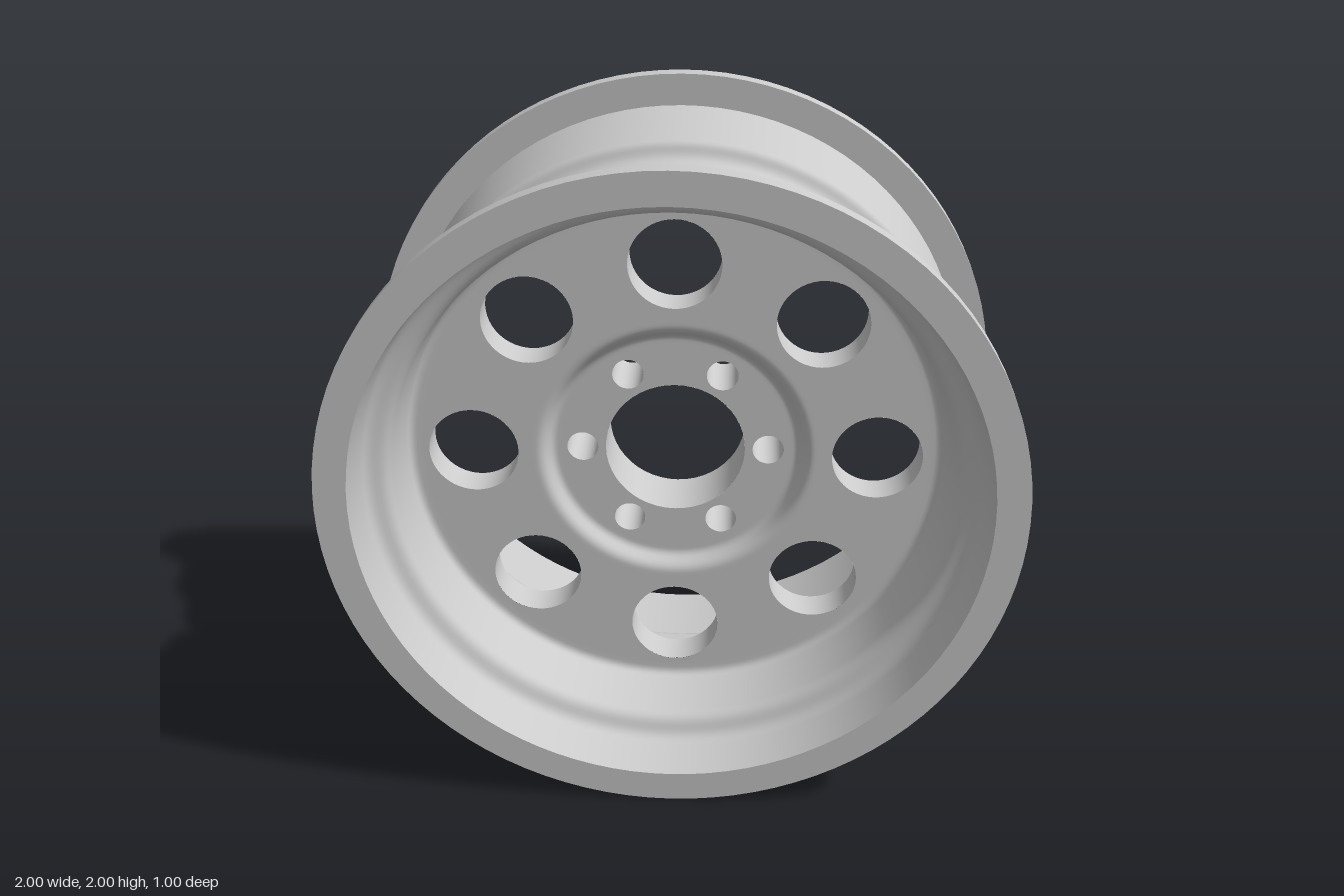
import * as THREE from 'three';

const SEG = 96;
const material = new THREE.MeshStandardMaterial({ color: 0xcccccc, side: THREE.DoubleSide });

// Profile of [radius, z, fillet] corners turned into a smooth polyline
function filletProfile(corners) {
  const out = [];
  corners.forEach(([r, z, f = 0], i) => {
    const p = new THREE.Vector2(r, z);
    if (!f) return out.push(p);
    const toward = ([a, b]) => new THREE.Vector2(a, b).sub(p).setLength(f).add(p);
    const curve = new THREE.QuadraticBezierCurve(toward(corners[i - 1]), p, toward(corners[i + 1]));
    out.push(...curve.getPoints(5));
  });
  return out;
}

// Surface of revolution around the z axis
function revolve(name, corners) {
  const geo = new THREE.LatheGeometry(filletProfile(corners), SEG).rotateX(Math.PI / 2);
  const mesh = new THREE.Mesh(geo, material);
  mesh.name = name;
  return mesh;
}

// Centres of evenly spaced holes
function holeCentres(count, radius) {
  return Array.from({ length: count }, (_, i) => {
    const a = (i / count) * Math.PI * 2;
    return [Math.cos(a) * radius, Math.sin(a) * radius];
  });
}

// Flat ring at depth z with a circle of round holes
function plate(name, inner, outer, z, centres, holeRadius) {
  const shape = new THREE.Shape().absarc(0, 0, outer, 0, Math.PI * 2);
  shape.holes.push(new THREE.Path().absarc(0, 0, inner, 0, Math.PI * 2, true));
  for (const [x, y] of centres) {
    shape.holes.push(new THREE.Path().absarc(x, y, holeRadius, 0, Math.PI * 2, true));
  }
  const mesh = new THREE.Mesh(new THREE.ShapeGeometry(shape, SEG / 2), material);
  mesh.name = name;
  mesh.position.z = z;
  return mesh;
}

// Open sleeve lining a hole between two depths
function sleeve(name, x, y, radius, z0, z1) {
  const geo = new THREE.CylinderGeometry(radius, radius, z1 - z0, 48, 1, true).rotateX(Math.PI / 2);
  const mesh = new THREE.Mesh(geo, material);
  mesh.name = name;
  mesh.position.set(x, y, (z0 + z1) / 2);
  return mesh;
}

export function createModel() {
  const model = new THREE.Group();
  model.name = 'wheelRim';
  const wheel = new THREE.Group();
  wheel.name = 'wheel';
  wheel.position.y = 1;
  model.add(wheel);

  const discFront = 0.125, discBack = 0.02;
  const hubFront = 0.085, hubBack = -0.1;
  const boreRadius = 0.21;

  // Flat flanges with a square outer edge
  for (const [side, s] of [['front', 1], ['back', -1]]) {
    wheel.add(
      revolve(side + 'FlangeFace', [[0.905, 0.5 * s], [1, 0.5 * s]]),
      revolve(side + 'FlangeEdge', [[1, 0.45 * s], [1, 0.5 * s]]),
      revolve(side + 'FlangeInnerFace', [[0.903, 0.45 * s], [1, 0.45 * s]])
    );
  }

  // Stepped barrels running in to the disc faces
  wheel.add(
    revolve('frontBarrel', [
      [0.905, 0.5], [0.89, 0.345, 0.03], [0.822, 0.32, 0.03], [0.8, discFront, 0.025], [0.755, discFront]
    ]),
    revolve('backBarrel', [
      [0.905, -0.5], [0.875, -0.17, 0.02], [0.826, -0.15, 0.025], [0.8, discBack, 0.025], [0.755, discBack]
    ])
  );

  // Disc faces and the eight round windows
  const windows = holeCentres(8, 0.605);
  wheel.add(
    plate('discFront', 0.43, 0.755, discFront, windows, 0.135),
    plate('discBack', 0.43, 0.755, discBack, windows, 0.135)
  );
  for (const [x, y] of windows) wheel.add(sleeve('windowSleeve', x, y, 0.135, discBack, discFront));

  // Hub, recessed in front and raised at the back
  wheel.add(
    revolve('hubRecess', [[0.43, discFront], [0.4, discFront, 0.02], [0.37, hubFront, 0.015], [0.345, hubFront]]),
    revolve('hubBoss', [[0.43, discBack], [0.375, discBack, 0.045], [0.348, hubBack]])
  );

  // Hub faces, bolt holes and centre bore
  const bolts = holeCentres(6, 0.28);
  wheel.add(
    plate('hubFront', boreRadius, 0.345, hubFront, bolts, 0.047),
    plate('hubBack', boreRadius, 0.348, hubBack, bolts, 0.047),
    sleeve('centreBore', 0, 0, boreRadius, hubBack, hubFront)
  );
  for (const [x, y] of bolts) wheel.add(sleeve('boltSleeve', x, y, 0.047, hubBack, hubFront));

  return model;
}
